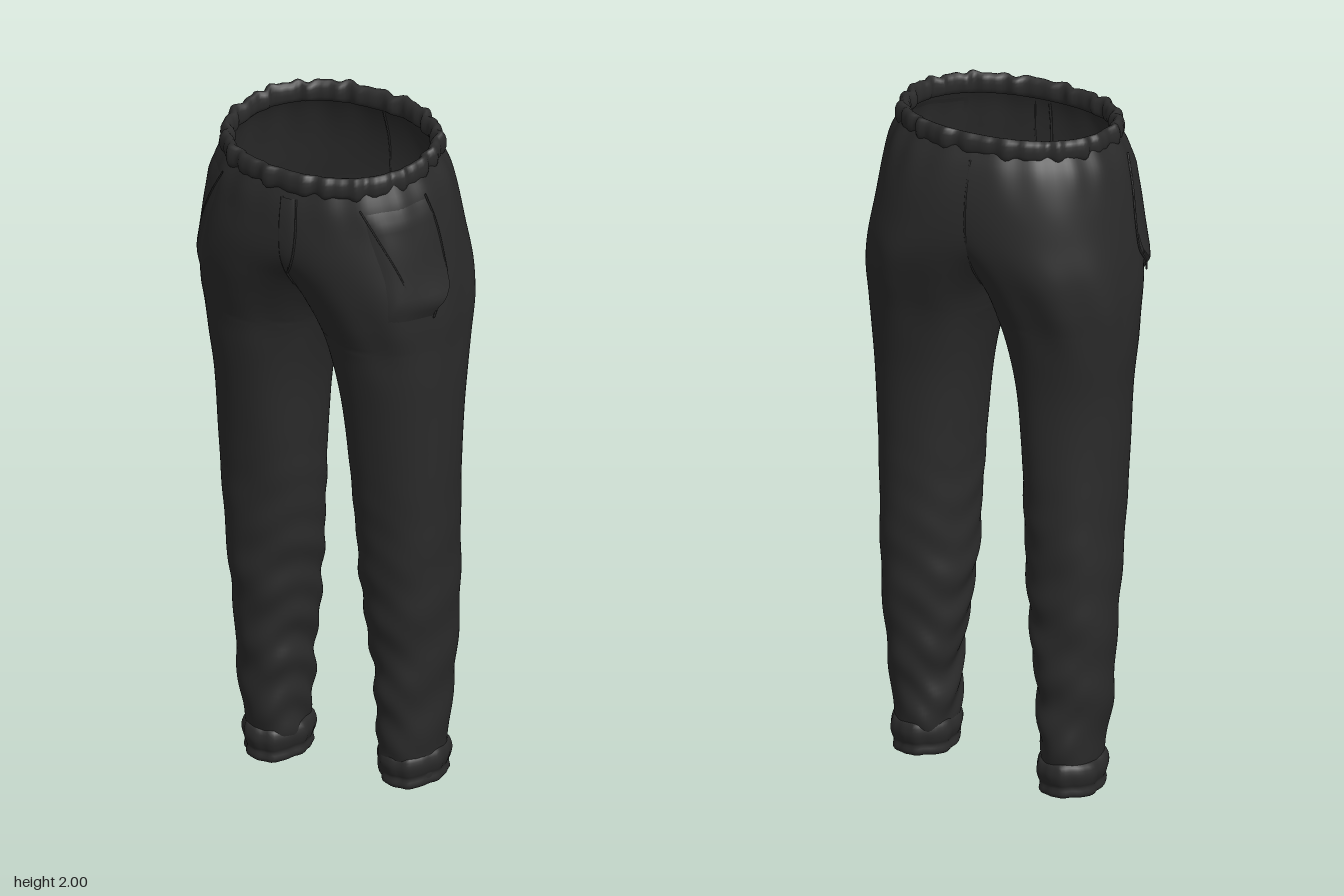
import * as THREE from 'three';
import { mergeVertices } from 'three/addons/utils/BufferGeometryUtils.js';

const cloth = new THREE.MeshStandardMaterial({ color: 0x2b2b2b, side: THREE.DoubleSide });

// Sections of one half: [y, inner x, outer x, front z, back z].
// A negative inner x means the section is cut open at the centre plane.
const hips = [
  [1.42, 0, 0.383, 0.195, -0.22],
  [1.5, -0.035, 0.386, 0.22, -0.243],
  [1.6, -0.11, 0.38, 0.25, -0.268],
  [1.7, -0.25, 0.367, 0.272, -0.278],
  [1.8, -0.32, 0.35, 0.275, -0.272],
  [1.88, -0.325, 0.33, 0.268, -0.25],
  [1.94, -0.3, 0.3, 0.25, -0.222],
];
const legs = {
  left: [
    [0.06, 0.14, 0.295, 0.035, -0.155], [0.16, 0.125, 0.302, 0.05, -0.17],
    [0.27, 0.128, 0.312, 0.06, -0.172], [0.42, 0.108, 0.328, 0.068, -0.178],
    [0.6, 0.088, 0.345, 0.09, -0.18], [0.8, 0.082, 0.355, 0.11, -0.178],
    [1.0, 0.073, 0.364, 0.132, -0.176], [1.2, 0.054, 0.373, 0.158, -0.183],
    [1.33, 0.028, 0.38, 0.18, -0.202],
  ],
  right: [
    [0.05, 0.15, 0.295, 0.035, -0.155], [0.15, 0.138, 0.308, 0.05, -0.17],
    [0.27, 0.132, 0.326, 0.06, -0.172], [0.42, 0.118, 0.336, 0.068, -0.178],
    [0.6, 0.1, 0.345, 0.09, -0.18], [0.8, 0.082, 0.35, 0.11, -0.178],
    [1.0, 0.07, 0.355, 0.132, -0.176], [1.2, 0.054, 0.362, 0.158, -0.183],
    [1.33, 0.028, 0.376, 0.18, -0.202],
  ],
};

const { lerp, smoothstep } = THREE.MathUtils;
const ROUND = 0.9;
const power = (v) => Math.sign(v) * Math.abs(v) ** ROUND;

function makeSide(name, sign) {
  const rows = [...legs[name], ...hips];
  const curve = new THREE.CubicInterpolant(rows.map((r) => r[0]), rows.flatMap((r) => r.slice(1)), 4);
  const phase = sign * 0.6;

  // Soft folds, fading out at the centre seam of the hips
  function folds(y, t, a) {
    const low = 1 - smoothstep(y, 0.2, 1.15);
    const inside = 0.5 - 0.5 * Math.cos(a);
    const wave = 0.0025 * Math.sin(3 * a + 7 * y + phase * low)
      + 0.003 * low * Math.sin(2 * a + 31 * y + phase)
      + 0.005 * low * inside * Math.sin(52 * y + 3 * Math.sin(2 * a + phase))
      + 0.004 * smoothstep(y, 1.3, 1.5) * Math.sin(9 * a) * (1 - smoothstep(y, 1.5, 1.75))
      + 0.003 * smoothstep(y, 1.75, 1.9) * Math.sin(17 * a);
    return wave * lerp(1, 1 - t ** 8, smoothstep(y, 1.2, 1.42));
  }

  // Point on the cloth: t runs from the back (-1) past the outside (0) to the front (1)
  return (y, t, lift = 0) => {
    const [inner, outer, front, back] = curve.evaluate(y);
    const cx = Math.max((inner + outer) / 2, 0), rx = outer - cx;
    const cz = (front + back) / 2, rz = (front - back) / 2;
    const a = t * Math.acos(-(Math.min(cx / rx, 1) ** (1 / ROUND)));
    const d = lift + folds(y, t, a);
    const z = cz + (rz + d) * power(Math.sin(a));
    const x = Math.max(cx + (rx + d) * power(Math.cos(a)), 0);
    return new THREE.Vector3(sign * x, y - 0.1 * z * smoothstep(y, 1.6, 1.9), z);
  };
}

// Grid surface from a rule over u and v in 0..1
function sheet(name, nu, nv, rule) {
  const pos = [], index = [];
  for (let i = 0; i <= nu; i++) {
    for (let j = 0; j <= nv; j++) {
      pos.push(...rule(i / nu, j / nv).toArray());
      if (i < nu && j < nv) {
        const p = i * (nv + 1) + j, q = p + nv + 1;
        index.push(p, q, p + 1, p + 1, q, q + 1);
      }
    }
  }
  let geo = new THREE.BufferGeometry();
  geo.setAttribute('position', new THREE.Float32BufferAttribute(pos, 3));
  geo.setIndex(index);
  geo = mergeVertices(geo, 1e-5);
  geo.computeVertexNormals();
  const mesh = new THREE.Mesh(geo, cloth);
  mesh.name = name;
  return mesh;
}

function seam(name, points, radius = 0.003) {
  const path = new THREE.CatmullRomCurve3(points);
  const mesh = new THREE.Mesh(new THREE.TubeGeometry(path, 32, radius, 5), cloth);
  mesh.name = name;
  return mesh;
}

// Rolled cuff: closed profile of [outward offset, height] swept round the ankle
function cuff(name, sign, cx, bottom) {
  const profile = new THREE.CatmullRomCurve3(
    [[-0.022, 0.006], [-0.006, 0], [0.004, 0.01], [0.001, 0.032], [0.006, 0.045], [0.011, 0.07],
      [0.002, 0.098], [-0.014, 0.1], [-0.024, 0.06]].map(([o, h]) => new THREE.Vector3(o, h, 0)), true);
  return sheet(name, 56, 28, (u, v) => {
    const a = u * Math.PI * 2, p = profile.getPoint(v);
    const o = p.x + 0.0025 * Math.sin(7 * a + sign) + 0.0015 * Math.sin(13 * a);
    return new THREE.Vector3(
      sign * (cx + (0.083 + o) * Math.cos(a)),
      bottom + p.y + 0.003 * (1 + Math.sin(3 * a + sign)),
      -0.064 + (0.105 + o) * Math.sin(a));
  });
}

export function createModel() {
  const model = new THREE.Group();
  model.name = 'trousers';

  for (const [name, sign] of [['left', 1], ['right', -1]]) {
    const point = makeSide(name, sign);
    const low = legs[name][0][0];
    const side = new THREE.Group();
    side.name = `${name}Half`;

    // Leg and hip in one piece
    side.add(sheet(`${name}Leg`, 130, 72, (u, v) => point(lerp(low, 1.94, u), 2 * v - 1)));

    // Side pocket standing slightly open at its lower rear corner
    const rear = (y) => 0.05 + 0.1 * (1 - smoothstep(y, 1.53, 1.63)) + 0.05 * smoothstep(y, 1.72, 1.9);
    const fore = (y) => lerp(0.42, 0.56, smoothstep(y, 1.54, 1.88));
    side.add(sheet(`${name}Pocket`, 24, 16, (u, v) => {
      const y = lerp(1.53, 1.89, u);
      const gape = Math.exp(-(((y - 1.57) / 0.07) ** 2)) * (1 - v) ** 1.2;
      const edge = Math.min(1, 6 * u, 6 * (1 - u), 5 * (1 - v));
      return point(y, lerp(rear(y), fore(y), v), -0.002 + 0.008 * edge + 0.016 * gape * Math.min(1, 8 * u));
    }));
    const slant = [1.89, 1.8, 1.7, 1.62, 1.56, 1.53];
    side.add(seam(`${name}PocketEdge`, slant.map((y) => point(y, rear(y), 0.006))));
    side.add(seam(`${name}PocketSeam`, slant.slice(0, 4).map((y) => point(y, lerp(0.56, 0.3, (1.89 - y) / 0.27), 0.006)), 0.0025));

    model.add(side);
  }

  // Fly with its curved stitch line
  const front = makeSide('left', 1);
  model.add(sheet('flyPanel', 16, 6, (u, v) => {
    const y = lerp(1.64, 1.9, u);
    return front(y, 1 - 0.07 * v * Math.min(1, 3 * u + 0.15), 0.005 * (1 - v ** 4));
  }));
  model.add(seam('flyStitch', [[1.9, 0.93], [1.8, 0.93], [1.72, 0.935], [1.66, 0.96], [1.63, 1]]
    .map(([y, t]) => front(y, t, 0.001))));
  model.add(seam('frontSeam', [1.9, 1.8, 1.7, 1.64, 1.58].map((y) => front(y, 1)), 0.004));
  model.add(seam('backSeam', [1.9, 1.8, 1.7, 1.6, 1.52].map((y) => front(y, -1)), 0.003));

  // Gathered elastic waistband, higher at the back
  model.add(sheet('waistband', 180, 16, (u, v) => {
    const a = u * Math.PI * 2, b = v * Math.PI * 2;
    const ruffle = 0.004 * Math.sin(23 * a) + 0.003 * Math.sin(37 * a + 1) + 0.002 * Math.sin(9 * a);
    const out = 0.016 * Math.cos(b) + ruffle;
    const z = 0.015 + (0.236 + out) * power(Math.sin(a));
    const rise = 0.031 * power(Math.sin(b)) + 0.5 * ruffle * Math.sin(b);
    return new THREE.Vector3((0.296 + out) * power(Math.cos(a)), 1.943 - 0.1 * z + rise, z);
  }));

  // Ankle cuffs
  model.add(cuff('leftCuff', 1, 0.216, 0.038), cuff('rightCuff', -1, 0.224, 0));
  return model;
}
